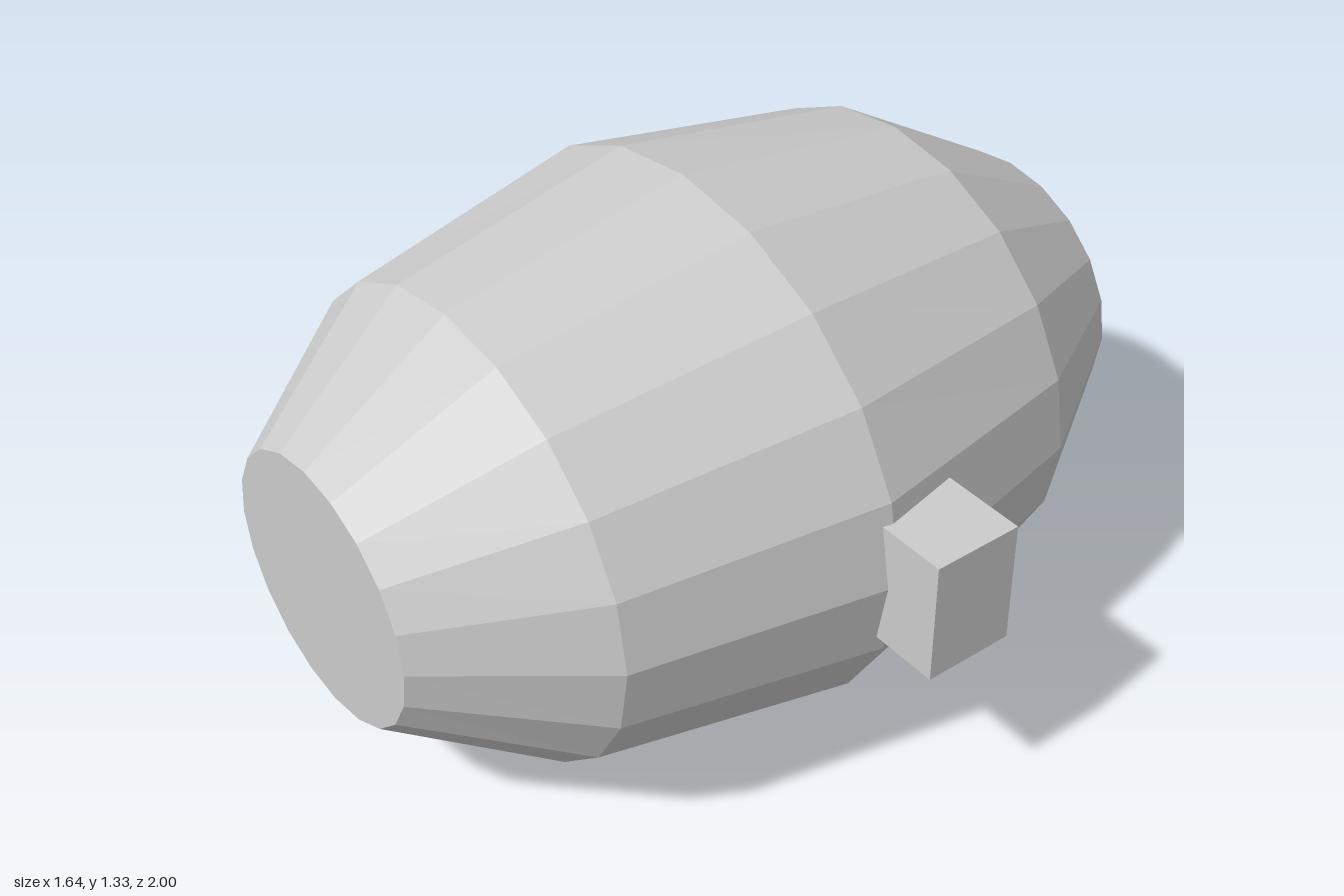
import * as THREE from 'three';

export function createModel() {
  const model = new THREE.Group();
  const material = new THREE.MeshStandardMaterial({ color: 0xcccccc, flatShading: true });

  // Barrel body: a 20-sided cylinder lying along z, bulged ring by ring.
  // Each ring: [z, half width, half height], front to back.
  const rings = [
    [1, 0.338, 0.32],
    [0.64, 0.617, 0.56],
    [0.02, 0.75, 0.666],
    [-0.6, 0.617, 0.57],
    [-1, 0.362, 0.33],
  ];
  const bodyGeometry = new THREE.CylinderGeometry(1, 1, 2, 20, rings.length - 1);
  bodyGeometry.rotateX(Math.PI / 2);
  const position = bodyGeometry.attributes.position;
  for (let i = 0; i < position.count; i++) {
    const [z, rx, ry] = rings[Math.round((1 - position.getZ(i)) * 2)];
    position.setXYZ(i, position.getX(i) * rx, position.getY(i) * ry, z);
  }
  bodyGeometry.computeVertexNormals();
  const body = new THREE.Mesh(bodyGeometry, material);
  body.name = 'barrelBody';
  body.position.set(-0.07, 0.669, 0);
  model.add(body);

  // Square plug set into the left side
  const plug = new THREE.Mesh(new THREE.BoxGeometry(0.27, 0.31, 0.225), material);
  plug.name = 'sidePlug';
  plug.position.set(0.685, 0.67, -0.068);
  model.add(plug);

  return model;
}
